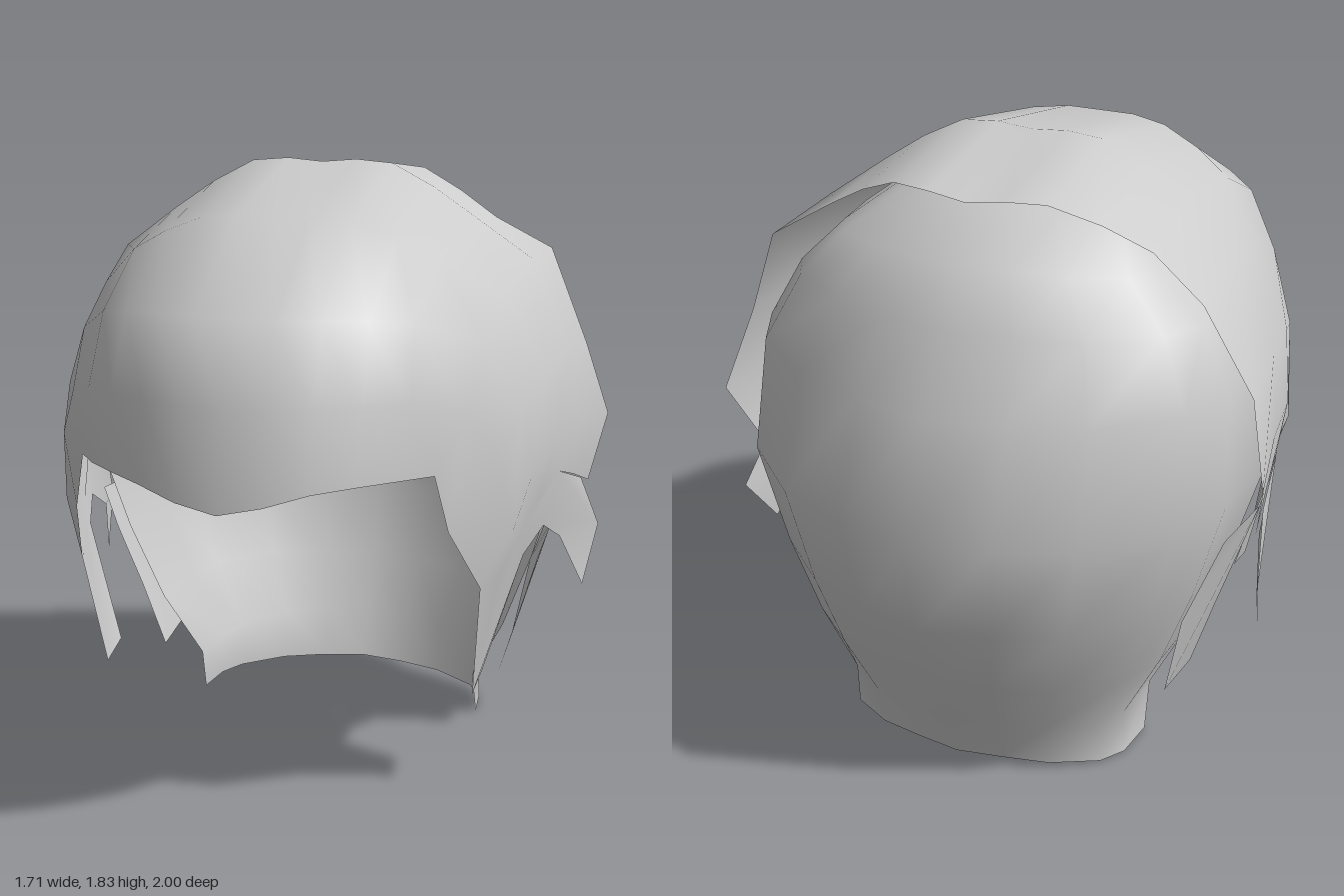
import * as THREE from 'three';
import { mergeGeometries, mergeVertices } from 'three/addons/utils/BufferGeometryUtils.js';

const material = new THREE.MeshStandardMaterial({ color: 0xcccccc, side: THREE.DoubleSide });

function fromPoints(points, index) {
  const g = new THREE.BufferGeometry();
  g.setAttribute('position', new THREE.Float32BufferAttribute(points.flat(), 3));
  g.setIndex(index);
  return g;
}

const flipX = ([x, y, z]) => [-x, y, z];
const mirrorRow = (half) => [...half.slice(1).reverse().map(flipX), ...half];

// Skin a grid of points; every row has the same number of points
function grid(rows, flip) {
  const n = rows[0].length, index = [];
  for (let i = 0; i < rows.length - 1; i++) {
    for (let j = 0; j < n - 1; j++) {
      const a = i * n + j, b = a + 1, c = a + n, d = c + 1;
      if (flip) index.push(a, c, b, b, c, d);
      else index.push(a, b, c, b, d, c);
    }
  }
  return fromPoints(rows.flat(), index);
}

// Add rounded midpoints between the three points nearest the middle of a half row
function roundMiddle(half) {
  const full = mirrorRow(half);
  const curve = new THREE.CatmullRomCurve3(full.map((p) => new THREE.Vector3(...p)), false, 'catmullrom');
  const mid = (k) => curve.getPoint((half.length - 0.5 + k) / (full.length - 1)).toArray();
  return [half[0], mid(0), half[1], mid(1), ...half.slice(2)];
}

// Ragged side panel filled from its outline, on one side of the head
function panel(outline, side) {
  const flat = outline.map(([, y, z]) => new THREE.Vector2(-z, y));
  if (THREE.ShapeUtils.isClockWise(flat)) {
    flat.reverse();
    outline = [...outline].reverse();
  }
  const faces = THREE.ShapeUtils.triangulateShape(flat, []);
  const index = faces.flatMap(([a, b, c]) => (side > 0 ? [a, b, c] : [a, c, b]));
  return fromPoints(side > 0 ? outline : outline.map(flipX), index);
}

function smoothMesh(name, parts) {
  const geometry = mergeVertices(mergeGeometries(parts), 1e-4);
  geometry.computeVertexNormals();
  const mesh = new THREE.Mesh(geometry, material);
  mesh.name = name;
  return mesh;
}

export function createModel() {
  const model = new THREE.Group();
  model.name = 'hair';

  // Strands running from the fringe over the head to the jagged back edge,
  // from the middle outwards
  const strands = [
    [[0, .98, 1], [0, 1.25, .95], [0, 1.48, .84], [0, 1.71, .45], [0, 1.82, -.1], [0, 1.76, -.57]],
    [[.24, 1.035, .935], [.24, 1.26, .89], [.23, 1.48, .79], [.22, 1.7, .42], [.22, 1.82, -.1], [.23, 1.77, -.53]],
    [[.44, 1.045, .765], [.46, 1.25, .72], [.45, 1.45, .62], [.46, 1.59, .33], [.47, 1.67, -.1], [.49, 1.63, -.41]],
    [[.515, 1.035, .64], [.58, 1.2, .54], [.6, 1.36, .39], [.62, 1.46, .15], [.65, 1.54, -.13], [.66, 1.53, -.475]],
    [[.55, .87, .61], [.65, 1.05, .45], [.695, 1.17, .28], [.735, 1.23, .1], [.77, 1.26, -.15], [.79, 1.24, -.4]],
    [[.61, .66, .43], [.69, .82, .345], [.72, .95, .22], [.765, 1.02, .05], [.8, 1.03, -.2], [.855, 1, -.485]],
    [[.645, .67, .3], [.69, .77, .2], [.725, .85, .08], [.765, .905, -.04], [.785, .86, -.2], [.81, .8, -.38]],
  ];
  const capRows = strands[0].map((_, i) => mirrorRow(roundMiddle(strands.map((s) => s[i]))));

  // Pointed locks in front of and behind the ear, joined to the cap
  const edge = strands.at(-1);
  const sideLocks = [
    strands.at(-2)[0], [.575, .3, .33], [.58, .33, .195], [.69, .69, .155], [.73, .75, .03],
    [.755, .67, -.15], [.81, .47, -.31], [.84, .64, -.44], [.8, .83, -.28],
    edge[3], edge[2], edge[1], edge[0],
  ];
  model.add(smoothMesh('frontHair', [grid(capRows), panel(sideLocks, 1), panel(sideLocks, -1)]));

  // Back of the hair: [centre y, side y, back z, side z, half width]
  const levels = [
    [.03, 0, -.69, -.32, .47],
    [.18, .14, -.75, -.27, .465],
    [.37, .35, -.85, -.2, .575],
    [.6, .6, -.93, -.15, .67],
    [.91, .91, -1, -.1, .76],
    [1.24, 1.24, -.87, -.12, .745],
    [1.45, 1.42, -.735, -.15, .645],
    [1.6, 1.56, -.635, -.18, .5],
    [1.7, 1.68, -.41, -.14, .34],
    [1.77, 1.765, -.2, -.1, .18],
  ];
  // Slightly pointed half section: [share of width, share of depth]
  const section = [[0, 1], [.3, .93], [.59, .83], [.87, .6], [.97, .38], [1, 0]];
  const backRows = levels.map(([yMid, ySide, zBack, zSide, w]) => mirrorRow(section.map(
    ([s, d]) => [w * s, yMid + (ySide - yMid) * s * s, zSide + (zBack - zSide) * d])));
  model.add(smoothMesh('backHair', [grid(backRows, true)]));

  // Blunt inner locks hanging below the ears, close to the back hair
  const innerLock = [
    [.74, .74, -.1], [.695, .61, -.1], [.63, .4, -.15], [.565, .19, -.18],
    [.565, .23, -.42], [.62, .5, -.445], [.71, .74, -.35],
  ];
  for (const side of [1, -1]) {
    model.add(smoothMesh(side > 0 ? 'leftInnerLock' : 'rightInnerLock', [panel(innerLock, side)]));
  }
  return model;
}
